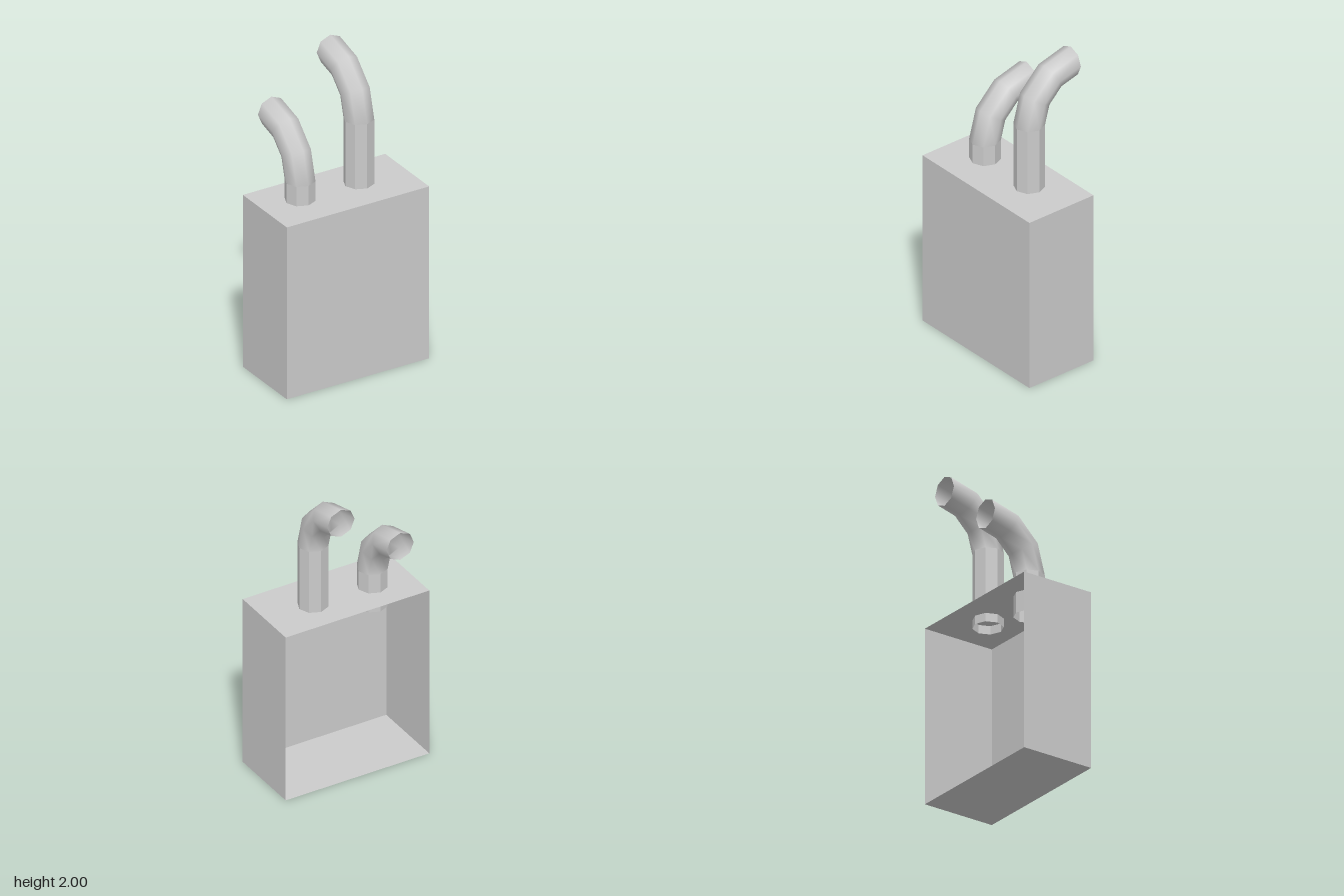
import * as THREE from 'three';

const W = 1, H = 1.155, FRONT = 0.295, BACK = -0.2;
const PIPE_R = 0.095, BEND_R = 0.322, SIDES = 8;

const flat = new THREE.MeshStandardMaterial({ color: 0xcccccc, flatShading: true, side: THREE.DoubleSide });
const smooth = new THREE.MeshStandardMaterial({ color: 0xcccccc, side: THREE.DoubleSide });

// Thin flat sheet, turned by rx and ry to face outward
function panel(name, w, h, position, rx = 0, ry = 0) {
  const mesh = new THREE.Mesh(new THREE.PlaneGeometry(w, h), flat);
  mesh.name = name;
  mesh.position.set(...position);
  mesh.rotation.set(rx, ry, 0);
  return mesh;
}

// Box made of five sheets, open at the back
function createCasing() {
  const casing = new THREE.Group();
  casing.name = 'casing';
  const depth = FRONT - BACK, midZ = (FRONT + BACK) / 2, q = Math.PI / 2;
  casing.add(
    panel('frontPanel', W, H, [0, H / 2, FRONT]),
    panel('topPanel', W, depth, [0, H, midZ], -q),
    panel('bottomPanel', W, depth, [0, 0, midZ], q),
    panel('leftPanel', depth, H, [W / 2, H / 2, midZ], 0, q),
    panel('rightPanel', depth, H, [-W / 2, H / 2, midZ], 0, -q)
  );
  return casing;
}

// Hollow upright pipe with a quarter bend towards the back
function createPipe(name, x, bottom, top) {
  const pipe = new THREE.Group();
  pipe.name = name;
  pipe.position.set(x, 0, FRONT - 0.59 + BEND_R);

  const length = top - bottom;
  const straight = new THREE.Mesh(
    new THREE.CylinderGeometry(PIPE_R, PIPE_R, length, SIDES, 1, true), flat);
  straight.name = 'straightPipe';
  straight.position.y = bottom + length / 2;

  const bend = new THREE.Mesh(
    new THREE.TorusGeometry(BEND_R, PIPE_R, SIDES, 3, Math.PI / 2), smooth);
  bend.name = 'pipeBend';
  bend.rotation.y = -Math.PI / 2;
  bend.position.set(0, top, -BEND_R);

  pipe.add(straight, bend);
  return pipe;
}

export function createModel() {
  const model = new THREE.Group();
  model.name = 'boxWithPipes';
  model.add(
    createCasing(),
    createPipe('tallPipe', 0.173, 1.1, 1.587),
    createPipe('shortPipe', -0.24, 1.02, 1.285)
  );
  return model;
}
